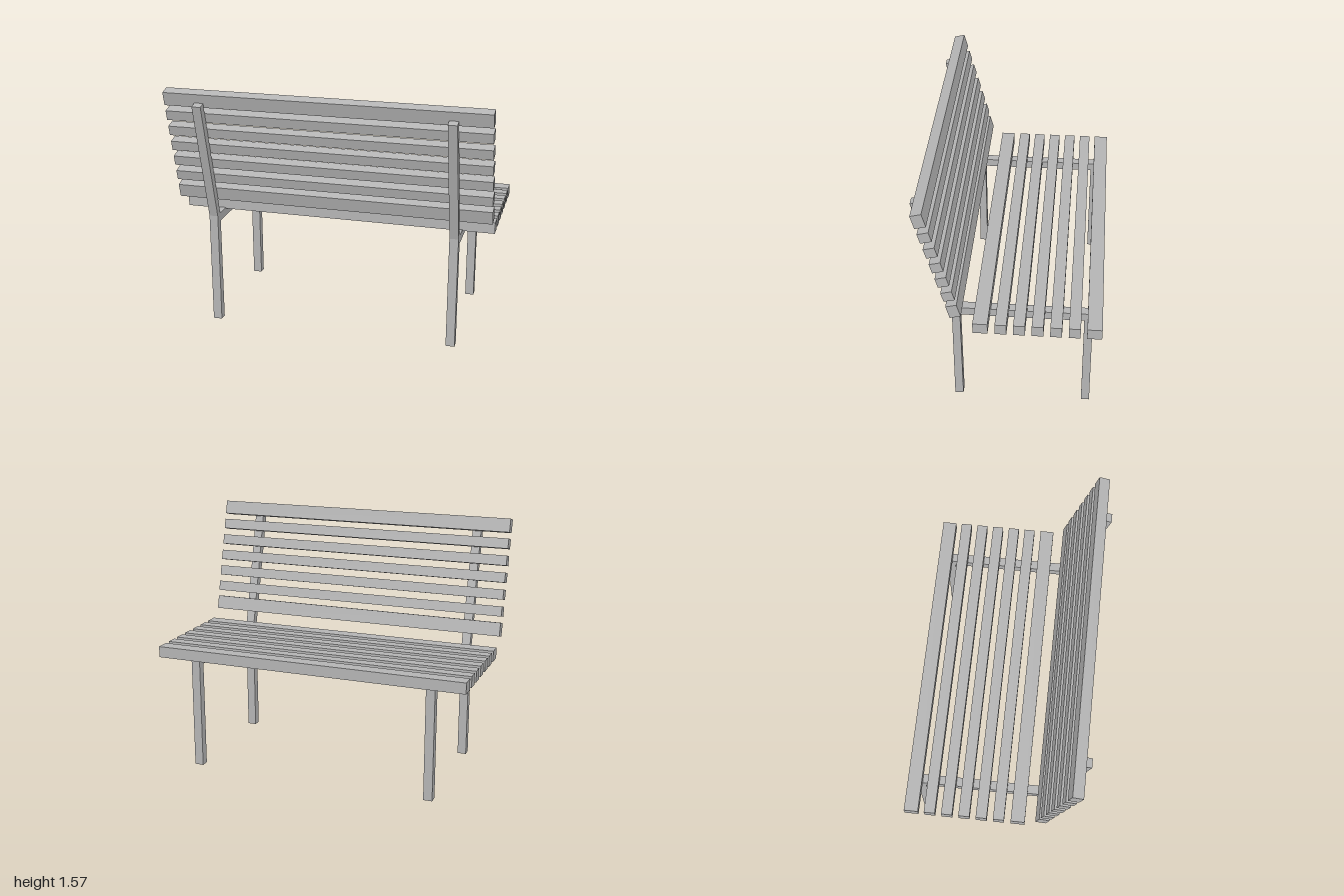
import * as THREE from 'three';

const LENGTH = 2, SLAT = 0.07, WIDE = 0.087, MID = 0.068;
const TILT = Math.atan2(0.202, 0.765); // backrest lean

export function createModel() {
  const bench = new THREE.Group();
  bench.name = 'bench';
  const grey = new THREE.MeshStandardMaterial({ color: 0xb4b4b4 });
  grey.name = 'grey';

  // Side frame outline as [z, y]: two legs, seat rail and leaning back post
  const outline = [
    [0.35, 0], [0.346, 0.72], [0.55, 1.487], [0.504, 1.5], [0.302, 0.728],
    [-0.494, 0.728], [-0.498, 0], [-0.447, 0], [-0.444, 0.675], [0.298, 0.675], [0.298, 0],
  ].map(([z, y]) => new THREE.Vector2(z, y));
  const frameGeo = new THREE.ExtrudeGeometry(new THREE.Shape(outline), { depth: 0.056, bevelEnabled: false });
  frameGeo.translate(0, 0, -0.028).rotateY(-Math.PI / 2);
  for (const side of [-1, 1]) {
    const frame = new THREE.Mesh(frameGeo, grey);
    frame.name = side > 0 ? 'leftFrame' : 'rightFrame';
    frame.position.x = side * 0.773;
    bench.add(frame);
  }

  function addSlat(name, height, depth, y, z, tilt = 0) {
    const slat = new THREE.Mesh(new THREE.BoxGeometry(LENGTH, height, depth), grey);
    slat.name = name;
    slat.position.set(0, y, z);
    slat.rotation.x = tilt;
    bench.add(slat);
  }

  // Seat: five narrow slats between two wide edge slats
  addSlat('seatRearSlat', SLAT, WIDE, 0.756, 0.156);
  for (let i = 0; i < 5; i++) addSlat('seatSlat' + (i + 1), SLAT, MID, 0.756, 0.037 - i * 0.1073);
  addSlat('seatFrontSlat', SLAT, WIDE, 0.756, -0.507);

  // Backrest: same rhythm, leaning along the posts
  addSlat('backTopSlat', WIDE, 0.066, 1.521, 0.473, TILT);
  for (let i = 0; i < 5; i++) addSlat('backSlat' + (i + 1), 0.064, 0.066, 1.41 - i * 0.1045, 0.444 - i * 0.0275, TILT);
  addSlat('backBottomSlat', WIDE, 0.066, 0.88, 0.307, TILT);

  return bench;
}
